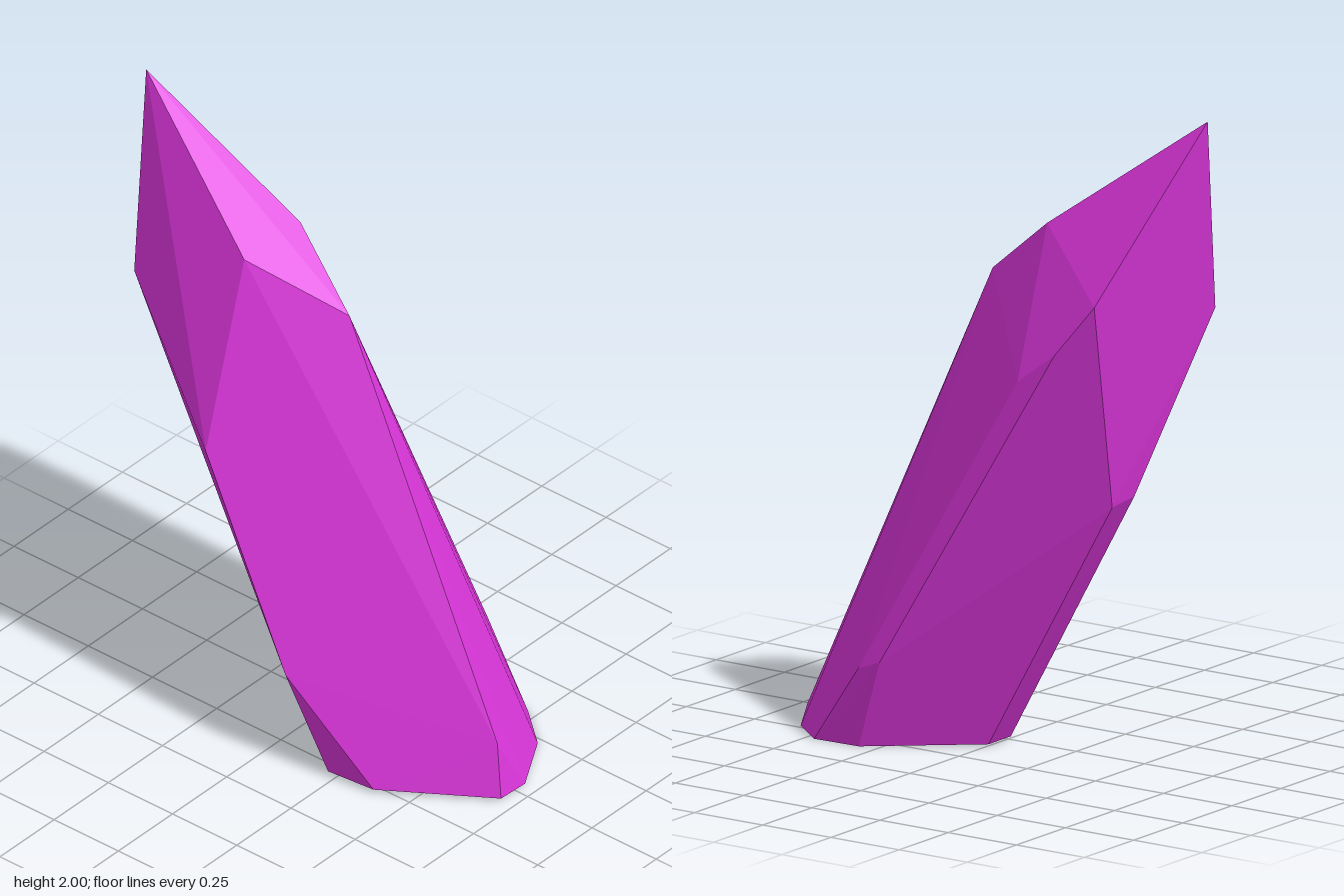
import * as THREE from 'three';
import { ConvexGeometry } from 'three/addons/geometries/ConvexGeometry.js';

// corners of the leaning crystal, grouped in rings from base to tip
const base = [
  [-0.07, 0.01, 0.705], [0.035, 0.01, 0.71], [0.23, 0, 0.595], [0.335, 0, 0.47], [0.33, 0, 0.31],
  [0.1, 0.005, 0.0], [0.0, 0.01, -0.01], [-0.305, 0.02, 0.23], [-0.285, 0.015, 0.39],
];
const lowerBevel = [
  [-0.045, 0.18, 0.67], [0.36, 0.25, 0.29], [0.363, 0.28, 0.21], [-0.365, 0.35, 0.115],
];
const backCorners = [[0.095, 0.8, -0.45], [0.01, 0.82, -0.47]];
const shoulder = [
  [-0.005, 1.44, 0.06], [0.065, 1.63, -0.19], [0.3, 1.2, -0.25], [0.3, 1.3, -0.385],
  [0.27, 1.46, -0.51], [-0.18, 1.385, -0.63], [-0.36, 1.02, -0.2], [-0.17, 1.61, -0.21],
];
const tip = [[-0.03, 2, -0.71]];

export function createModel() {
  const magenta = new THREE.MeshStandardMaterial({ color: 0xd935d9 });
  magenta.name = 'magenta';

  // faceted body: flat faces spanning all the corners
  const corners = [...base, ...lowerBevel, ...backCorners, ...shoulder, ...tip]
    .map((p) => new THREE.Vector3(...p));
  const crystal = new THREE.Mesh(new ConvexGeometry(corners), magenta);
  crystal.name = 'crystal';

  const group = new THREE.Group();
  group.name = 'crystalShard';
  group.add(crystal);
  return group;
}
